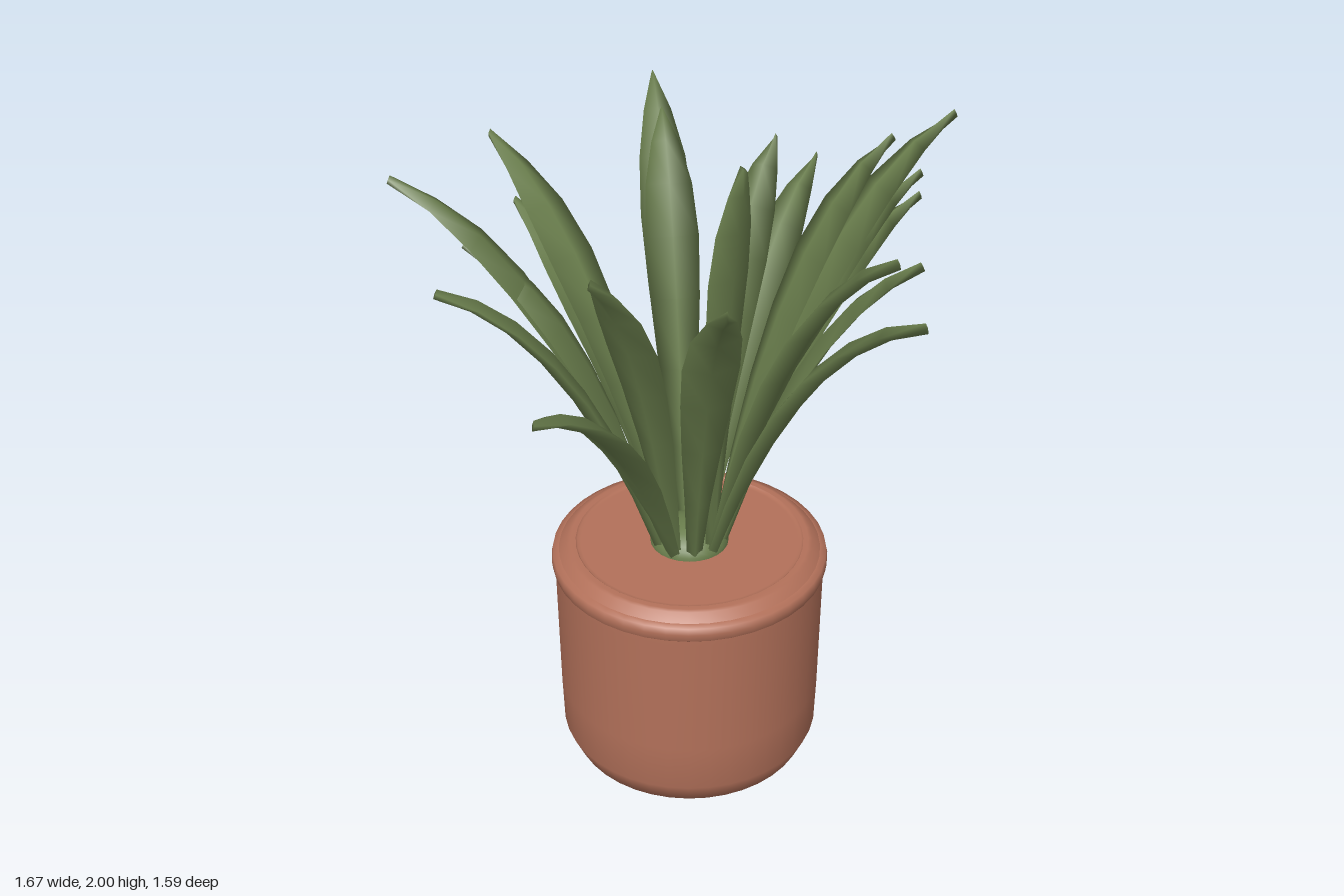
import * as THREE from 'three';

const leafGreen = new THREE.MeshStandardMaterial({ color: 0x697d4c });
leafGreen.name = 'leaf green';
const terracotta = new THREE.MeshStandardMaterial({ color: 0xb3715a });
terracotta.name = 'terracotta';

// Half width and half thickness of a blade at even steps from base to tip
const HALF_WIDTHS = [0.02, 0.037, 0.056, 0.07, 0.077, 0.067, 0.04, 0.003];
const HALF_THICKNESSES = [0.014, 0.017, 0.02, 0.021, 0.021, 0.02, 0.018, 0.014];

// Arching blade in the xy plane: a lens-like section swept from the crown to its tip
function bladeGeometry(reach, height) {
  const x0 = 0.088, y0 = 0.71;
  const curve = new THREE.QuadraticBezierCurve(
    new THREE.Vector2(x0, y0),
    new THREE.Vector2(x0 + 0.42 * (reach - x0), y0 + 0.84 * (height - y0)),
    new THREE.Vector2(reach, height)
  );
  const positions = [], indices = [];
  const last = HALF_WIDTHS.length - 1;
  HALF_WIDTHS.forEach((w, i) => {
    const p = curve.getPoint(i / last), t = curve.getTangent(i / last);
    const h = HALF_THICKNESSES[i];
    for (const [n, s] of [[1, 0], [0, 1], [-1, 0], [0, -1]]) {
      positions.push(p.x - t.y * n * h, p.y + t.x * n * h, s * w);
    }
    if (i === last) return;
    for (let j = 0; j < 4; j++) {
      const a = i * 4 + j, b = i * 4 + (j + 1) % 4;
      indices.push(a, b, a + 4, b, b + 4, a + 4);
    }
  });
  const e = last * 4;
  indices.push(e, e + 1, e + 2, e, e + 2, e + 3, 0, 2, 1, 0, 3, 2);
  const geometry = new THREE.BufferGeometry();
  geometry.setAttribute('position', new THREE.Float32BufferAttribute(positions, 3));
  geometry.setIndex(indices);
  geometry.computeVertexNormals();
  return geometry;
}

// Leaves: [direction in steps of 36 degrees from +x towards +z, reach, tip height]
const LEAVES = [
  [0, 0.83, 1.78], [0, 0.73, 1.92], [0, 0.2, 1.995],
  [1, 0.63, 1.83],
  [2, 0.83, 1.59], [2, 0.54, 1.84],
  [3, 0.73, 1.73],
  [4, 0.83, 1.83], [4, 0.63, 1.65],
  [5, 0.83, 1.76], [5, 0.73, 1.58],
  [6, 0.73, 1.89], [6, 0.54, 1.86],
  [7, 0.83, 1.62], [7, 0.54, 1.8],
  [8, 0.83, 1.92], [8, 0.63, 1.89], [8, 0.73, 1.76], [8, 0.73, 1.69],
  [9, 0.63, 1.69],
];

export function createModel() {
  const model = new THREE.Group();
  model.name = 'pottedPlant';

  // Pot with rounded foot, stepped rim and filled top; repeated points keep edges crisp
  const profile = [
    [0, 0], [0.27, 0], [0.295, 0.005], [0.355, 0.032], [0.386, 0.1], [0.391, 0.25], [0.397, 0.64],
    [0.397, 0.657], [0.397, 0.657], [0.404, 0.663], [0.407, 0.685], [0.403, 0.705], [0.385, 0.71],
    [0.385, 0.71], [0.362, 0.733], [0.35, 0.735], [0.335, 0.735], [0.335, 0.735], [0.33, 0.73],
    [0.32, 0.73], [0, 0.73],
  ].map(([x, y]) => new THREE.Vector2(x, y));
  const pot = new THREE.Mesh(new THREE.LatheGeometry(profile, 40), terracotta);
  pot.name = 'pot';
  model.add(pot);

  // Low domed crown the leaves grow from
  const crown = new THREE.Mesh(
    new THREE.SphereGeometry(0.116, 24, 8, 0, Math.PI * 2, 0, Math.PI / 2), leafGreen);
  crown.name = 'crown';
  crown.scale.y = 0.65;
  crown.position.y = 0.725;
  model.add(crown);

  // Leaves
  const leaves = new THREE.Group();
  leaves.name = 'leaves';
  for (const [step, reach, height] of LEAVES) {
    const leaf = new THREE.Mesh(bladeGeometry(reach, height), leafGreen);
    leaf.name = 'leaf';
    leaf.rotation.y = -step * Math.PI / 5;
    leaves.add(leaf);
  }
  model.add(leaves);
  return model;
}
